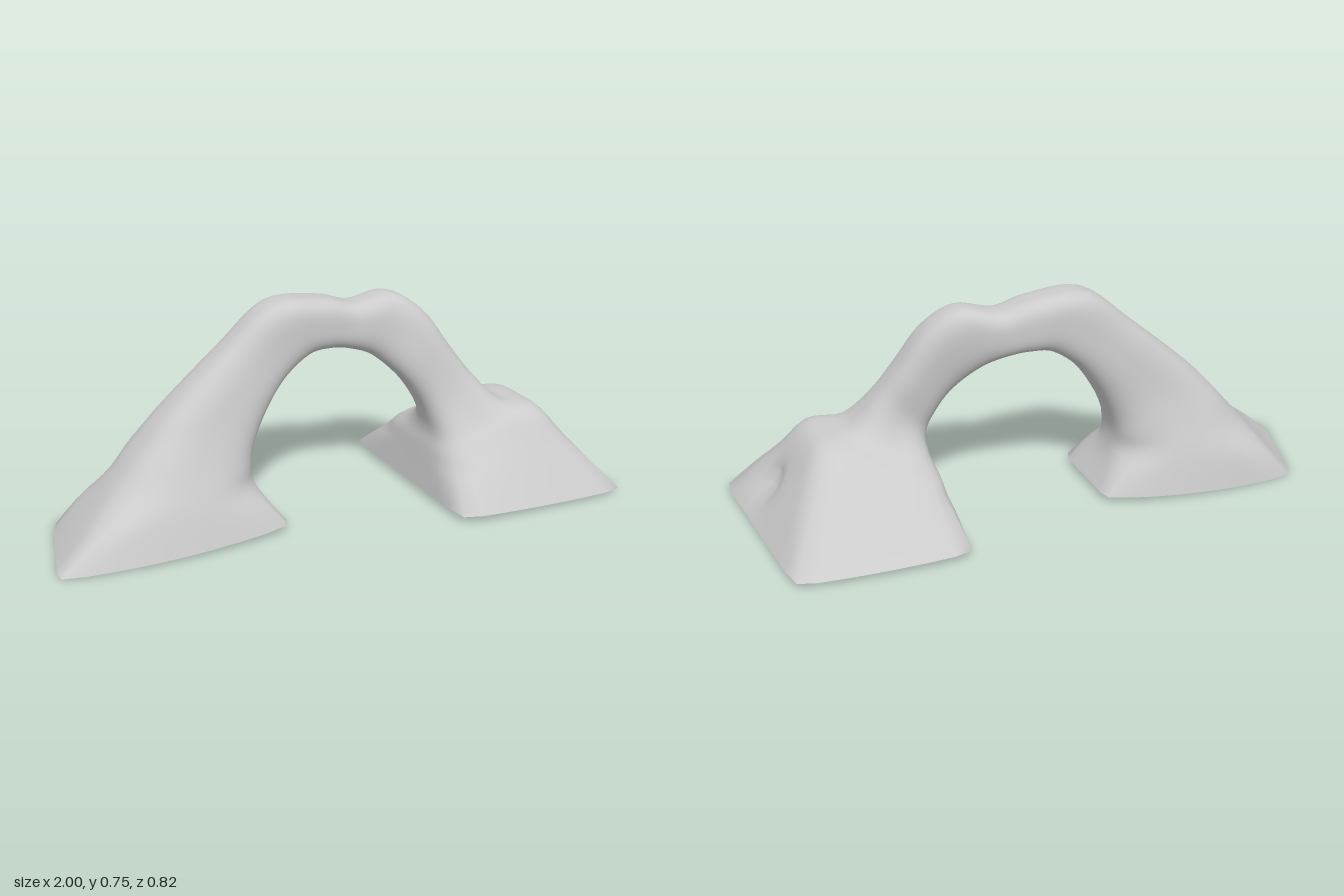
import * as THREE from 'three';

const AROUND = 48; // points round each cross-section
const STEPS = 5;   // rings between neighbouring sections

// A section has an outer edge and an inner edge, each [x, y, front z, back z],
// a squareness (2 = round, 20 = nearly square), an x shift of its outer back
// corner, and how far its front and back sides bow out.
const section = (outer, inner, square, skew = 0, bow = 0) => [...outer, ...inner, square, skew, bow];

const rightFoot = [
  section([-1.01, 0, 0.15, -0.265], [-0.185, 0.02, 0.15, -0.225], 20, 0.12, 0.045),
  section([-0.83, 0.15, 0.12, -0.25], [-0.25, 0.12, 0.12, -0.21], 4.5, 0.06, 0.03),
  section([-0.65, 0.315, 0.07, -0.205], [-0.265, 0.22, 0.09, -0.2], 3.2, 0, 0.01),
];

const span = [
  section([-0.54, 0.43, 0.04, -0.185], [-0.22, 0.34, 0.06, -0.18], 2.9),
  section([-0.33, 0.61, 0.01, -0.165], [-0.13, 0.47, 0.03, -0.17], 2.9),
  section([-0.16, 0.742, 0.015, -0.16], [-0.03, 0.545, 0.015, -0.16], 3.2),
  section([0.03, 0.738, 0.015, -0.155], [0.05, 0.557, 0.015, -0.155], 3.2),
  section([0.15, 0.708, 0.02, -0.14], [0.12, 0.547, 0.02, -0.14], 3),
  section([0.28, 0.73, 0.04, -0.125], [0.21, 0.512, 0.04, -0.12], 2.9),
  section([0.39, 0.66, 0.07, -0.1], [0.3, 0.43, 0.09, -0.08], 2.9),
  section([0.48, 0.53, 0.1, -0.075], [0.36, 0.34, 0.115, -0.06], 2.9),
  section([0.555, 0.425, 0.13, -0.05], [0.385, 0.27, 0.15, -0.06], 3),
];

const leftFoot = [
  section([0.65, 0.325, 0.19, -0.06], [0.39, 0.22, 0.19, -0.14], 3.6),
  section([0.77, 0.3, 0.24, -0.1], [0.38, 0.17, 0.235, -0.24], 5),
  section([0.88, 0.17, 0.31, -0.24], [0.37, 0.11, 0.3, -0.31], 7, -0.02, 0.01),
  section([1.01, 0.01, 0.395, -0.39], [0.355, 0.02, 0.375, -0.41], 20, -0.06, 0.015),
];

// Catmull-Rom blend of two neighbouring sections
function blend(rows, i, t) {
  const at = (k) => rows[Math.min(rows.length - 1, Math.max(0, k))];
  const [a, b, c, d] = [at(i - 1), at(i), at(i + 1), at(i + 2)];
  return b.map((v, k) => v + 0.5 * t * (c[k] - a[k]
    + t * (2 * a[k] - 5 * v + 4 * c[k] - d[k] + t * (3 * (v - c[k]) + d[k] - a[k]))));
}

// One point of a rounded-square ring stretched between the outer and inner edges
function ringPoint(s, angle) {
  const [xo, yo, fo, bo, xi, yi, fi, bi, n, skew, bow] = s;
  const c = Math.cos(angle), w = Math.sin(angle);
  const r = 1 / Math.pow(Math.abs(c) ** n + Math.abs(w) ** n, 1 / n);
  const u = (1 + c * r) / 2, v = (1 + w * r) / 2;
  const mix = THREE.MathUtils.lerp;
  const p = [
    mix(xo + skew * (1 - v), xi, u),
    mix(yo, yi, u),
    mix(mix(bo, fo, v), mix(bi, fi, v), u) + bow * w * r * 4 * u * (1 - u),
  ];
  // Worn hollow on the outer slope of the left foot
  const d2 = ((p[0] - 0.9) / 0.08) ** 2 + ((p[1] - 0.11) / 0.06) ** 2 + ((p[2] - 0.13) / 0.06) ** 2;
  p[0] -= 0.05 * Math.exp(-d2);
  return p;
}

function loft(rows) {
  const positions = [], index = [];
  const rings = (rows.length - 1) * STEPS + 1;
  for (let j = 0; j < rings; j++) {
    const i = Math.min(rows.length - 2, Math.floor(j / STEPS));
    const s = blend(rows, i, j / STEPS - i);
    for (let k = 0; k < AROUND; k++) positions.push(...ringPoint(s, (k / AROUND) * Math.PI * 2));
  }
  for (let j = 0; j < rings - 1; j++) {
    for (let k = 0; k < AROUND; k++) {
      const a = j * AROUND + k, b = j * AROUND + (k + 1) % AROUND;
      index.push(a, a + AROUND, b, b, a + AROUND, b + AROUND);
    }
  }
  const geometry = new THREE.BufferGeometry();
  geometry.setAttribute('position', new THREE.Float32BufferAttribute(positions, 3));
  geometry.setIndex(index);
  geometry.computeVertexNormals();
  return geometry;
}

export function createModel() {
  const group = new THREE.Group();
  group.name = 'rockArch';
  // Hollow shell, open under both feet
  const stone = new THREE.MeshStandardMaterial({ color: 0xcccccc, side: THREE.DoubleSide });
  const arch = new THREE.Mesh(loft([...rightFoot, ...span, ...leftFoot]), stone);
  arch.name = 'archShell';
  group.add(arch);
  return group;
}
